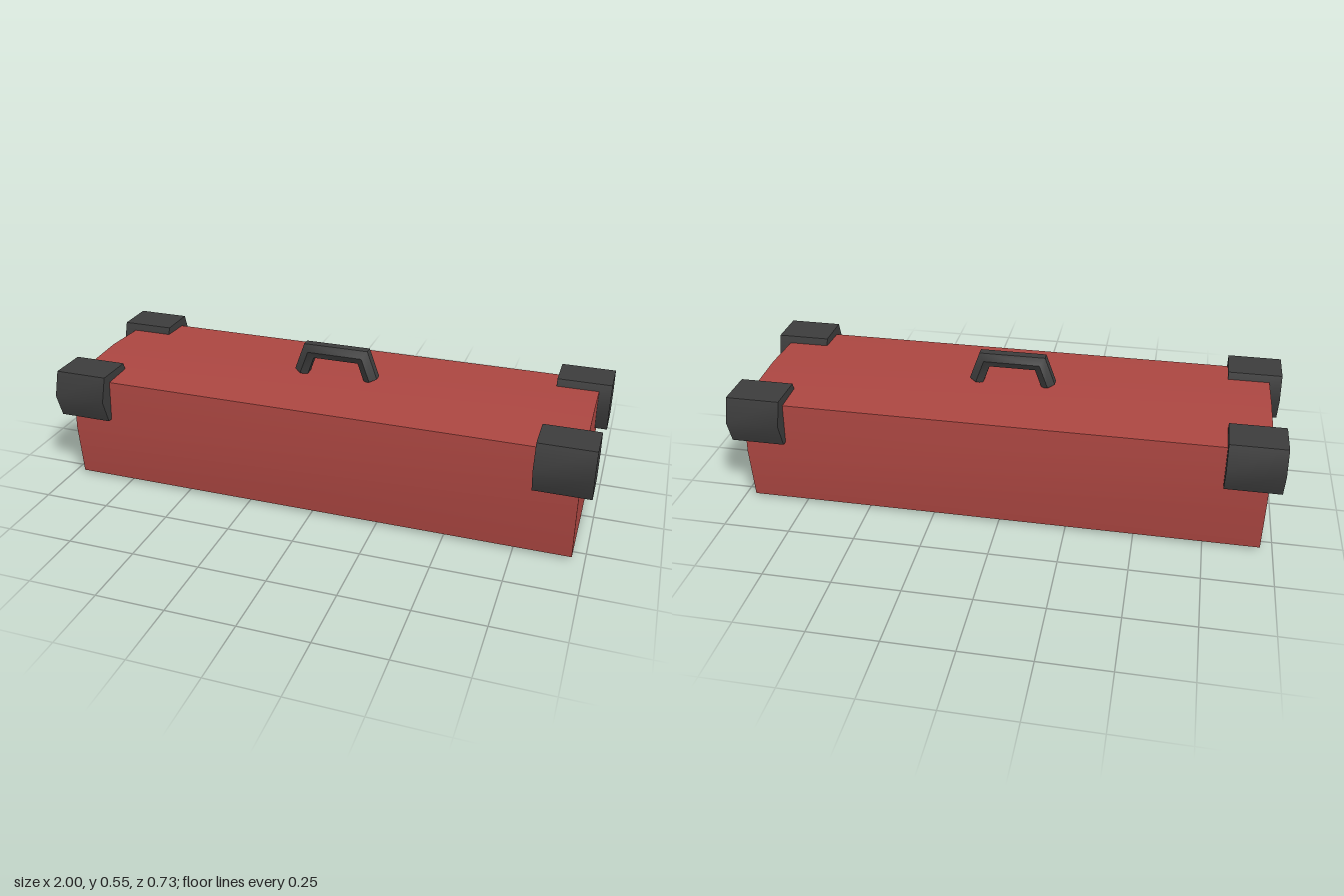
import * as THREE from 'three';
import { toCreasedNormals } from 'three/addons/utils/BufferGeometryUtils.js';

const CREASE = 0.8;

// Prism along x from a closed outline of [z, y] points
function prism(points, length) {
  const shape = new THREE.Shape(points.map(([z, y]) => new THREE.Vector2(z, y)));
  const geo = new THREE.ExtrudeGeometry(shape, { depth: length, bevelEnabled: false });
  geo.translate(0, 0, -length / 2);
  geo.rotateY(Math.PI / 2);
  return toCreasedNormals(geo, CREASE);
}

// Hexagonal bar swept along a bent path; each ring has a centre and an outward mitre
function handleGeometry() {
  const rings = [
    { c: [-0.137, 0.436], n: [-0.941, 0.338] },
    { c: [-0.105, 0.525], n: [-0.703, 1] },
    { c: [0.105, 0.525], n: [0.703, 1] },
    { c: [0.137, 0.436], n: [0.941, 0.338] },
  ];
  const sides = 6, verts = [], index = [];
  for (const { c, n } of rings) {
    for (let i = 0; i < sides; i++) {
      const a = (i / sides) * Math.PI * 2;
      const out = 0.0306 * Math.sin(a);
      verts.push(c[0] + n[0] * out, c[1] + n[1] * out, 0.032 * Math.cos(a));
    }
  }
  for (let r = 0; r < rings.length - 1; r++) {
    for (let i = 0; i < sides; i++) {
      const a = r * sides + i, b = r * sides + (i + 1) % sides;
      index.push(a, a + sides, b, b, a + sides, b + sides);
    }
  }
  // end caps
  const last = (rings.length - 1) * sides;
  for (let i = 1; i < sides - 1; i++) {
    index.push(0, i, i + 1, last, last + i + 1, last + i);
  }
  const geo = new THREE.BufferGeometry();
  geo.setAttribute('position', new THREE.Float32BufferAttribute(verts, 3));
  geo.setIndex(index);
  return toCreasedNormals(geo, CREASE);
}

export function createModel() {
  const red = new THREE.MeshStandardMaterial({ color: 0xab4641 });
  red.name = 'red paint';
  const dark = new THREE.MeshStandardMaterial({ color: 0x3c3c3c });
  dark.name = 'dark grey';

  const model = new THREE.Group();
  model.name = 'toolbox';
  const add = (name, geo, mat) => {
    const mesh = new THREE.Mesh(geo, mat);
    mesh.name = name;
    model.add(mesh);
    return mesh;
  };

  // Body with slightly bulging sides, lid and base
  add('body', prism([
    [0, 0], [0.305, 0.013], [0.322, 0.215], [0.305, 0.418],
    [0, 0.432], [-0.305, 0.418], [-0.322, 0.215], [-0.305, 0.013],
  ], 1.91), red);

  // Four hexagonal corner guards
  const guard = prism([
    [0.102, 0], [0.072, 0.09], [-0.072, 0.09],
    [-0.102, 0], [-0.072, -0.09], [0.072, -0.09],
  ], 0.2);
  for (const x of [-1, 1]) {
    for (const z of [-1, 1]) {
      const name = (z > 0 ? 'front' : 'back') + (x > 0 ? 'Left' : 'Right') + 'Corner';
      add(name, guard, dark).position.set(x * 0.9, 0.36, z * 0.265);
    }
  }

  // Carrying handle
  add('handle', handleGeometry(), dark);
  return model;
}
